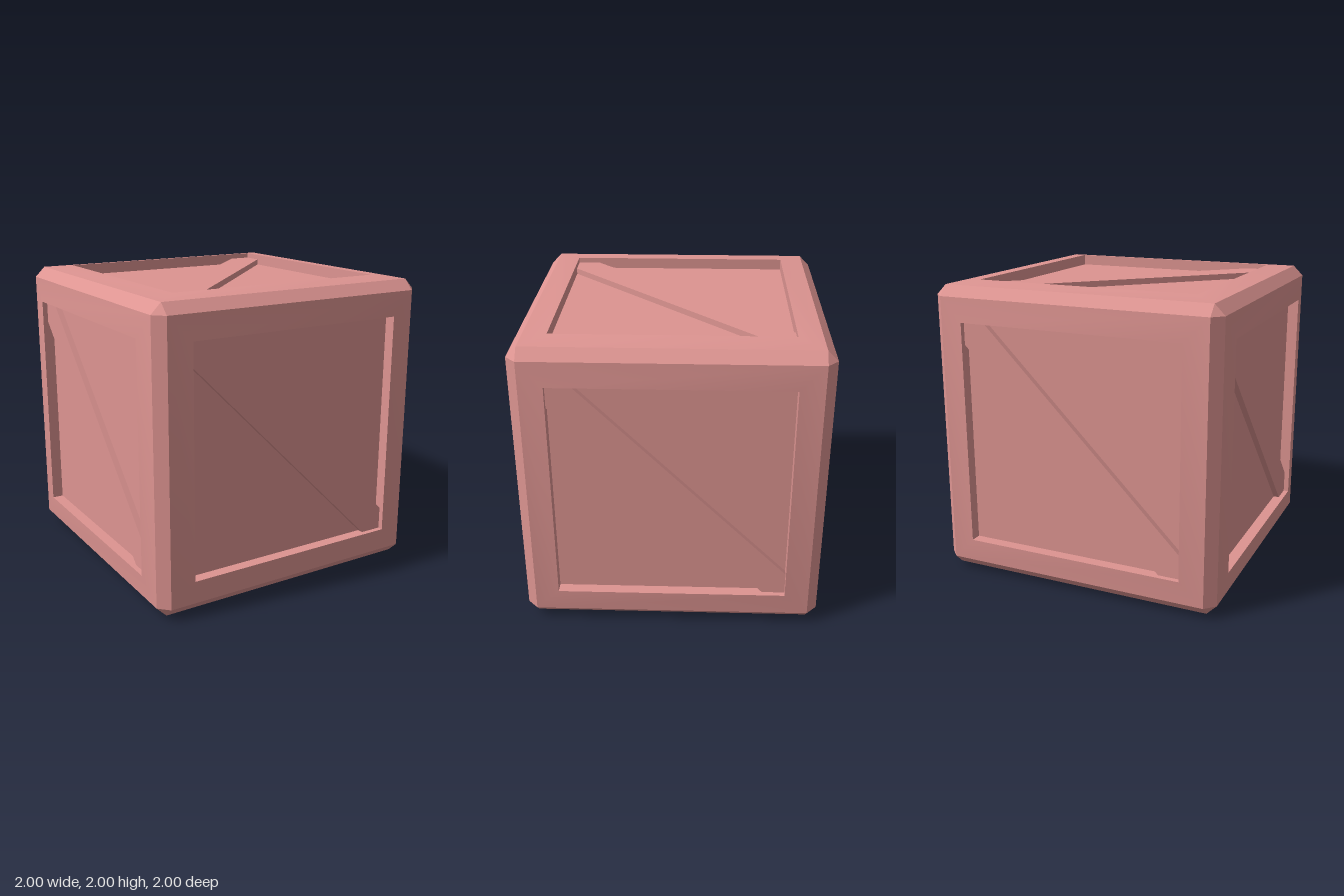
import * as THREE from 'three';
import { toCreasedNormals } from 'three/addons/utils/BufferGeometryUtils.js';

const OPEN = 0.755;   // half width of each recessed opening
const EDGE = 0.914;   // half width of each face, where the bevel starts
const RIM = 0.982;    // face height at the bevel
const PANEL = 0.925;  // height of the recessed panel
const BRACE = 0.965;  // height of the diagonal brace
const CUT = 0.15;     // how far the brace ends reach along the opening

const wood = new THREE.MeshStandardMaterial({ color: 0xdd9491 });
wood.name = 'dusty pink';

// Six faces: each turns the +z face into place
const q = Math.PI / 2;
const turn = (x, y, z = 0) => new THREE.Matrix4().makeRotationFromEuler(new THREE.Euler(x, y, z));
const faces = [
  { name: 'front', m: turn(0, 0), side: true, brace: true },
  { name: 'left', m: turn(0, q), side: true, brace: true },
  { name: 'back', m: turn(0, 2 * q), side: true, brace: true },
  { name: 'right', m: turn(0, -q), side: true, brace: true },
  { name: 'top', m: turn(-q, 0, q), brace: true },
  { name: 'bottom', m: turn(q, 0) },
];

// Rims, recess walls, bevels and corners in one creased shell
function frameGeometry() {
  const pos = [];
  const add = (m, pts) => {
    const v = pts.map((p) => new THREE.Vector3(...p).applyMatrix4(m));
    for (let i = 1; i < v.length - 1; i++) {
      for (const p of [v[0], v[i], v[i + 1]]) pos.push(p.x, p.y, p.z);
    }
  };
  const i = OPEN, a = EDGE, d = RIM;
  for (const face of faces) {
    for (let r = 0; r < 4; r++) {
      const m = face.m.clone().multiply(turn(0, 0, -r * q));
      add(m, [[-i, i, 1], [i, i, 1], [a, a, d], [-a, a, d]]);             // rim
      add(m, [[-i, i, PANEL], [i, i, PANEL], [i, i, 1], [-i, i, 1]]);     // recess wall
      if (face.side && r < 3) add(m, [[-a, a, d], [a, a, d], [a, d, a], [-a, d, a]]); // bevel
      if (face.side && r < 2) add(m, [[a, a, d], [d, a, a], [a, d, a]]);  // corner
    }
  }
  const geo = new THREE.BufferGeometry();
  geo.setAttribute('position', new THREE.Float32BufferAttribute(pos, 3));
  return toCreasedNormals(geo, 0.45);
}

// Diagonal plank from upper left to lower right, trimmed to the opening
function braceGeometry() {
  const i = OPEN, c = OPEN - CUT;
  const shape = new THREE.Shape([
    [-i, i], [-i, c], [c, -i], [i, -i], [i, -c], [-c, i],
  ].map(([x, y]) => new THREE.Vector2(x, y)));
  return new THREE.ExtrudeGeometry(shape, { depth: BRACE - PANEL, bevelEnabled: false })
    .translate(0, 0, PANEL);
}

export function createModel() {
  const crate = new THREE.Group();
  crate.name = 'crate';
  const add = (name, geo) => {
    const mesh = new THREE.Mesh(geo, wood);
    mesh.name = name;
    mesh.position.y = 1;
    crate.add(mesh);
  };

  add('frame', frameGeometry());
  const panel = new THREE.PlaneGeometry(2 * OPEN, 2 * OPEN).translate(0, 0, PANEL);
  const brace = braceGeometry();
  for (const face of faces) {
    add(face.name + 'Panel', panel.clone().applyMatrix4(face.m));
    if (face.brace) add(face.name + 'Brace', brace.clone().applyMatrix4(face.m));
  }
  return crate;
}
